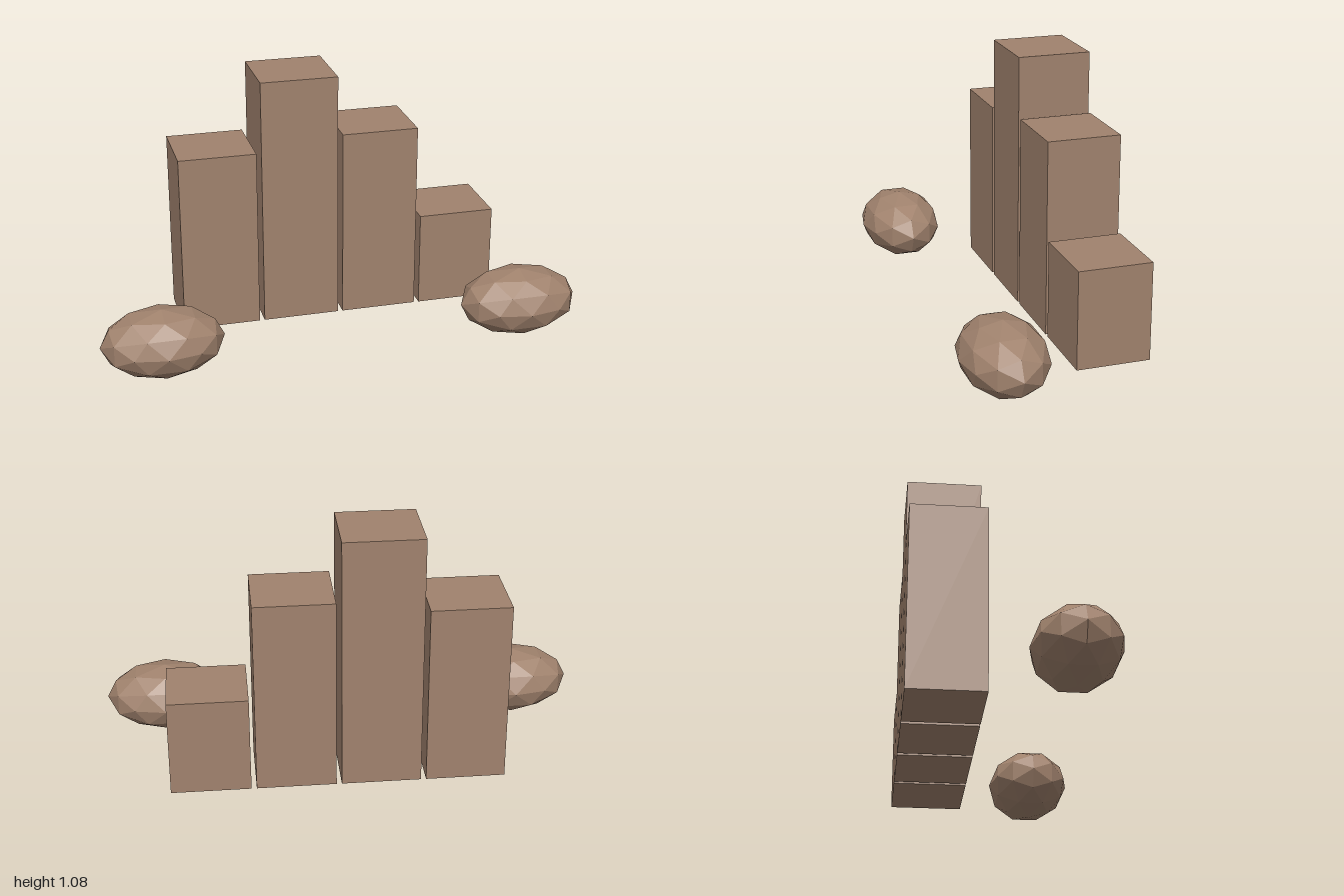
import * as THREE from 'three';

export function createModel() {
  const model = new THREE.Group();
  const stone = new THREE.MeshStandardMaterial({ color: 0xa0826d, flatShading: true });
  stone.name = 'brown stone';

  // Row of square pillars of differing heights, evenly spaced
  const base = 0.023;
  [0.757, 1.057, 0.806, 0.404].forEach((height, i) => {
    const pillar = new THREE.Mesh(new THREE.BoxGeometry(0.322, height, 0.302), stone);
    pillar.name = `pillar${i + 1}`;
    pillar.position.set(-0.455 + i * 0.343, base + height / 2, -0.236);
    model.add(pillar);
  });

  // Faceted boulders, one at each front corner
  const boulderGeometry = new THREE.IcosahedronGeometry(1, 1);
  boulderGeometry.rotateY(Math.PI / 2);
  boulderGeometry.scale(0.25, 0.141, 0.171);
  for (const side of [-1, 1]) {
    const boulder = new THREE.Mesh(boulderGeometry, stone);
    boulder.name = side > 0 ? 'leftBoulder' : 'rightBoulder';
    boulder.position.set(side * 0.75, 0.142, 0.217);
    model.add(boulder);
  }

  return model;
}
